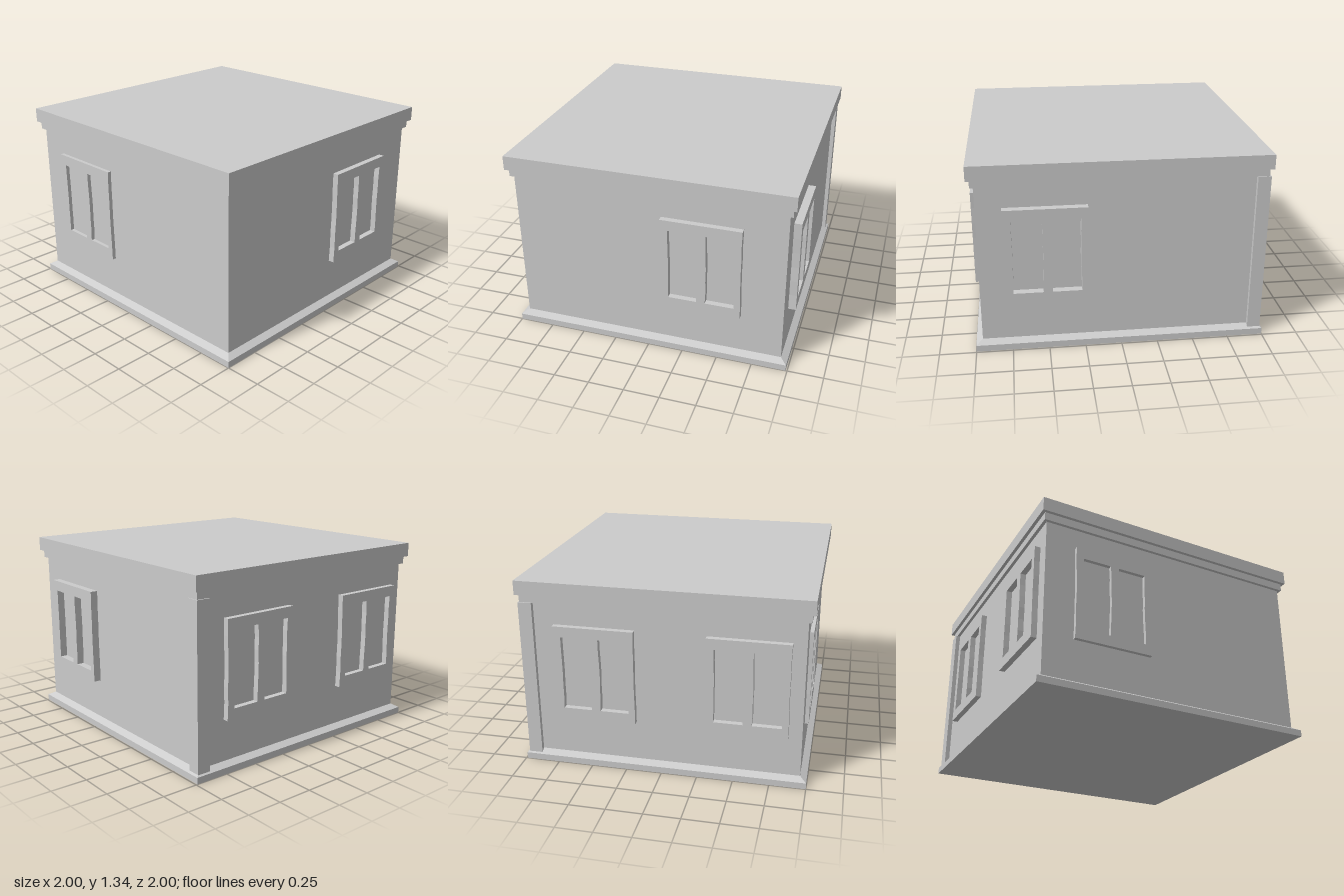
import * as THREE from 'three';

const material = new THREE.MeshStandardMaterial({ color: 0xcccccc, flatShading: true });

// Square tier: a profile of [half width, height] swept round four corners
function tier(name, profile) {
  const points = profile.map(([r, y]) => new THREE.Vector2(r * Math.SQRT2, y));
  const geometry = new THREE.LatheGeometry(points, 4, Math.PI / 4).toNonIndexed();
  geometry.scale(1, 1, 0.995);
  geometry.translate(0, 0, 0.005);
  geometry.computeVertexNormals();
  const mesh = new THREE.Mesh(geometry, material);
  mesh.name = name;
  return mesh;
}

// Slightly uneven upright rectangle, its sides bowed like worn timber
function wornRectangle(path, x0, x1, y0, y1, bowLeft, bowRight) {
  const wobble = [0, 0.1, 0.7, 1, 0.5, 0.8, 0];
  const last = wobble.length - 1;
  const corners = [];
  wobble.forEach((w, i) => corners.push(new THREE.Vector2(x1 + w * bowRight, y0 + (y1 - y0) * i / last)));
  wobble.forEach((w, i) => corners.push(new THREE.Vector2(x0 + w * bowLeft, y1 - (y1 - y0) * i / last)));
  return path.setFromPoints(corners);
}

// Two-light window frame standing proud of the wall
function windowFrame(name, depth) {
  const inset = 0.01;
  const shape = wornRectangle(new THREE.Shape(), -0.28, 0.28, 0.36, 1.035, 0.006, -0.004);
  shape.holes.push(
    wornRectangle(new THREE.Path(), -0.225, -0.025, 0.435, 0.96, 0.003, 0.006),
    wornRectangle(new THREE.Path(), 0.035, 0.235, 0.435, 0.96, 0.006, -0.005),
  );
  const geometry = new THREE.ExtrudeGeometry(shape, { depth: depth + inset, bevelEnabled: false });
  geometry.translate(0, 0, -inset);
  const mesh = new THREE.Mesh(geometry, material);
  mesh.name = name;
  return mesh;
}

export function createModel() {
  const model = new THREE.Group();
  model.name = 'smallHouse';

  // Plinth with a sloped top, plain walls, stepped cornice and flat roof
  model.add(
    tier('plinth', [[0, 0], [1, 0], [1, 0.045], [0.955, 0.072]]),
    tier('walls', [[0.955, 0.072], [0.955, 1.185]]),
    tier('cornice', [[0.955, 1.185], [0.977, 1.185], [0.977, 1.24], [1, 1.24]]),
    tier('roof', [[1, 1.24], [1, 1.34], [0, 1.34]]),
  );

  // Corner pilaster at the back
  const pilaster = new THREE.Mesh(new THREE.BoxGeometry(0.09, 1.14, 0.095), material);
  pilaster.name = 'cornerPilaster';
  pilaster.position.set(-0.942, 0.615, -0.927);
  model.add(pilaster);

  // Windows: name, x, z, turn, depth
  const windows = [
    ['frontWindow', -0.465, 0.955, 0, 0.027],
    ['leftSideWindow', 0.953, -0.375, Math.PI / 2, 0.043],
    ['backWindow', 0.505, -0.945, Math.PI, 0.053],
    ['rightSideRearWindow', -0.953, -0.46, -Math.PI / 2, 0.042],
    ['rightSideFrontWindow', -0.953, 0.585, -Math.PI / 2, 0.042],
  ];
  for (const [name, x, z, turn, depth] of windows) {
    const frame = windowFrame(name, depth);
    frame.position.set(x, 0, z);
    frame.rotation.y = turn;
    model.add(frame);
  }

  return model;
}
